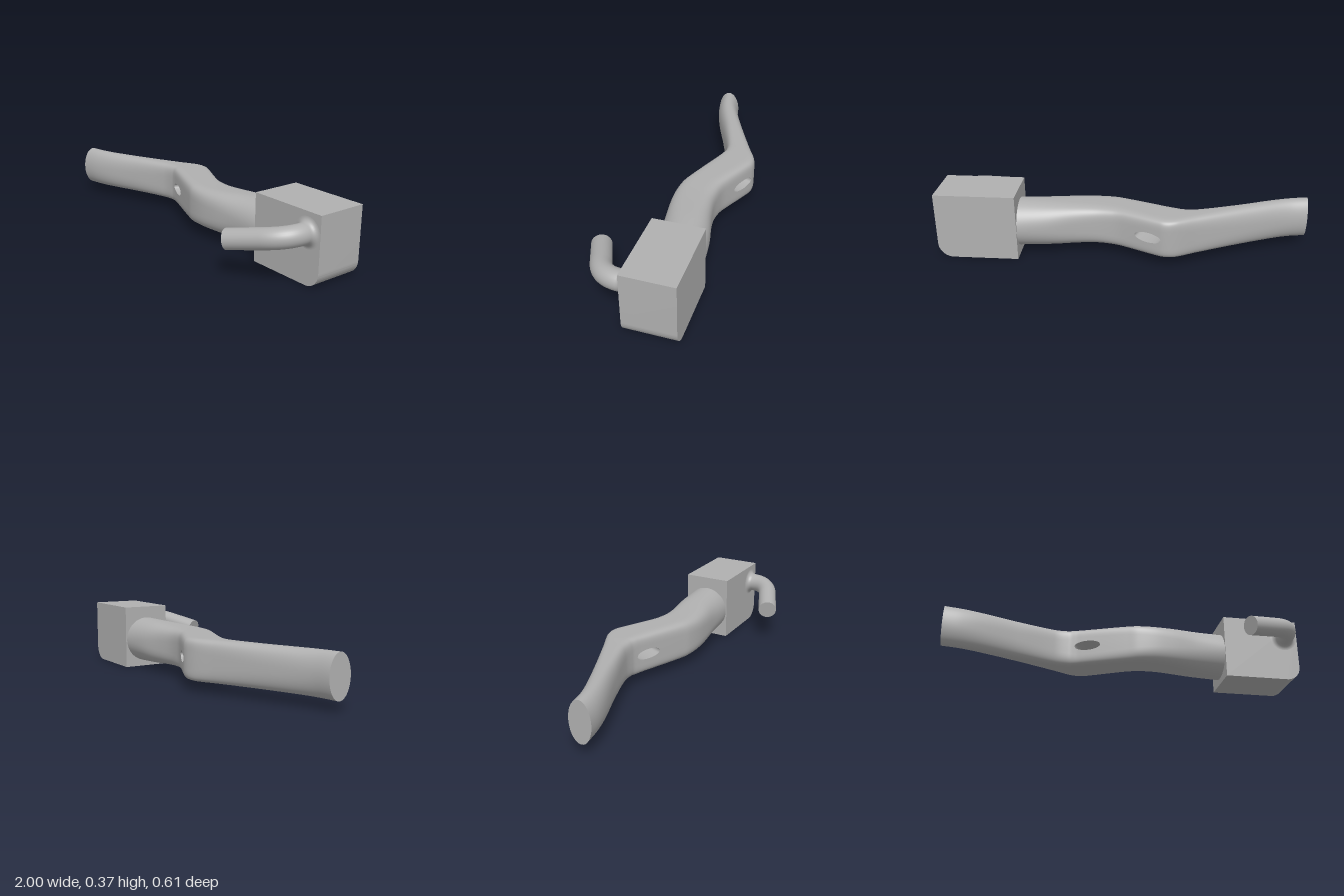
import * as THREE from 'three';
import { mergeVertices, toCreasedNormals } from 'three/addons/utils/BufferGeometryUtils.js';

// Arm stations: x, back z, front z, half height, squareness of the section
const STATIONS = [
  [-1.0, -0.022, 0.105, 0.113, 2],
  [-0.9, -0.043, 0.085, 0.112, 2.1],
  [-0.8, -0.078, 0.052, 0.111, 2.3],
  [-0.6, -0.162, -0.03, 0.11, 2.8],
  [-0.4, -0.25, -0.104, 0.11, 4],
  [-0.32, -0.288, -0.114, 0.111, 5],
  [-0.28, -0.303, -0.105, 0.111, 6],
  [-0.24, -0.31, -0.09, 0.111, 6],
  [-0.2, -0.303, -0.074, 0.111, 6],
  [0.0, -0.213, 0.007, 0.111, 5],
  [0.06, -0.196, 0.028, 0.111, 4.5],
  [0.15, -0.19, 0.039, 0.112, 3.8],
  [0.25, -0.203, 0.035, 0.116, 3.2],
  [0.4, -0.236, 0.018, 0.125, 2.4],
  [0.57, -0.258, 0.005, 0.132, 2],
];
const MID_Y = 0.166;
const STEP = 0.005;
const COUNT = 314;
const SIDES = 32;
const SLOT = { x: -0.215, half: 0.07, height: 0.028, shift: 16 };

// Smooth interpolation of one station column
function sample(x, col) {
  const S = STATIONS, last = S.length - 1;
  let k = 0;
  while (k < last - 1 && x > S[k + 1][0]) k++;
  const slope = (i) => {
    const a = S[Math.max(i - 1, 0)], b = S[Math.min(i + 1, last)];
    return (b[col] - a[col]) / (b[0] - a[0]);
  };
  const w = S[k + 1][0] - S[k][0], t = (x - S[k][0]) / w, t2 = t * t, t3 = t2 * t;
  return (2 * t3 - 3 * t2 + 1) * S[k][col] + (t3 - 2 * t2 + t) * w * slope(k)
    + (3 * t2 - 2 * t3) * S[k + 1][col] + (t3 - t2) * w * slope(k + 1);
}

// Half height of the slot opening at x
function slotHeight(x, centre) {
  const u = (x - centre) / SLOT.half;
  return SLOT.height * Math.sqrt(Math.max(0, 1 - u * u));
}

// Upper (s = 1) or lower (s = -1) half of a section, from front seam to back seam
function halfSection(i, s) {
  const x = -1 + i * STEP;
  const [back, front, H, n] = [1, 2, 3, 4].map((c) => sample(x, c));
  const start = (h) => Math.asin(Math.pow(h / H, n / 2));
  const t0 = start(slotHeight(x, SLOT.x));
  const t1 = Math.PI - start(slotHeight(x, SLOT.x + SLOT.shift * STEP));
  const points = [];
  for (let j = 0; j <= SIDES; j++) {
    const t = t0 + (t1 - t0) * j / SIDES, c = Math.cos(t);
    const z = (front + back) / 2 + (front - back) / 2 * Math.sign(c) * Math.pow(Math.abs(c), 2 / n);
    const y = H * Math.pow(Math.max(0, Math.sin(t)), 2 / n);
    points.push([x, MID_Y + s * y, z]);
  }
  return points;
}

// Skin a list of [rows, flipped] grids into one smooth geometry
function skin(grids) {
  const pos = [];
  for (const [rows, flip] of grids) {
    for (let i = 0; i < rows.length - 1; i++) {
      for (let j = 0; j < rows[i].length - 1; j++) {
        const a = rows[i][j], b = rows[i + 1][j], c = rows[i + 1][j + 1], d = rows[i][j + 1];
        const order = flip ? [a, c, b, a, d, c] : [a, b, c, a, c, d];
        for (const p of order) pos.push(...p);
      }
    }
  }
  let g = new THREE.BufferGeometry();
  g.setAttribute('position', new THREE.Float32BufferAttribute(pos, 3));
  g = mergeVertices(g, 1e-5);
  g.computeVertexNormals();
  return g;
}

export function createModel() {
  const model = new THREE.Group();
  const metal = new THREE.MeshStandardMaterial({ color: 0xb0b0b0 });
  metal.name = 'grey metal';
  const add = (name, geometry, parent = model) => {
    const mesh = new THREE.Mesh(geometry, metal);
    mesh.name = name;
    parent.add(mesh);
    return mesh;
  };

  // Curved arm: skin, flat end and the walls of the slot through it
  const arm = new THREE.Group();
  arm.name = 'arm';
  model.add(arm);
  const body = [], end = [], walls = [];
  const first = Math.round((SLOT.x - SLOT.half + 1) / STEP);
  const length = Math.round(2 * SLOT.half / STEP);
  for (const s of [1, -1]) {
    const rows = Array.from({ length: COUNT + 1 }, (_, i) => halfSection(i, s));
    body.push([rows, s < 0]);
    const centre = [-1, MID_Y, 0.0415];
    end.push([[rows[0].map(() => centre), rows[0]], s < 0]);
    const wall = [];
    for (let i = first; i <= first + length; i++) {
      wall.push([rows[i][0], rows[i + SLOT.shift][SIDES]]);
    }
    walls.push([wall, s > 0]);
  }
  add('armSkin', skin(body), arm);
  add('armEnd', skin(end), arm);
  add('slotWalls', skin(walls), arm);

  // Block with one rounded lower corner
  const x0 = 0.565, x1 = 1, top = 0.365, r = 0.08;
  const outline = new THREE.Shape();
  outline.moveTo(x0, 0);
  outline.lineTo(x1 - r, 0);
  outline.absarc(x1 - r, r, r, -Math.PI / 2, 0, false);
  outline.lineTo(x1, top);
  outline.lineTo(x0, top);
  outline.closePath();
  const block = new THREE.ExtrudeGeometry(outline, { depth: 0.274, bevelEnabled: false, curveSegments: 16 });
  block.translate(0, 0, -0.264);
  add('block', toCreasedNormals(block, 0.5));

  // Bent lever: straight, bend, straight
  const lever = new THREE.Group();
  lever.name = 'lever';
  model.add(lever);
  const base = new THREE.Vector3(0.918, 0.261, 0.0);
  const corner = new THREE.Vector3(0.918, 0.261, 0.132);
  const tip = new THREE.Vector3(0.636, 0.199, 0.253);
  const bendIn = corner.clone().lerp(base, 0.75);
  const bendOut = corner.clone().lerp(tip, 0.38);
  const path = new THREE.CurvePath();
  path.add(new THREE.LineCurve3(base, bendIn));
  path.add(new THREE.QuadraticBezierCurve3(bendIn, corner, bendOut));
  path.add(new THREE.LineCurve3(bendOut, tip));
  const radius = 0.053;
  add('leverRod', new THREE.TubeGeometry(path, 60, radius, 32), lever);
  const cap = add('leverEnd', new THREE.CircleGeometry(radius, 32), lever);
  cap.position.copy(tip);
  cap.quaternion.setFromUnitVectors(new THREE.Vector3(0, 0, 1), tip.clone().sub(corner).normalize());

  // Fillet where the lever meets the block
  const f = 0.027, profile = [];
  for (let i = 0; i <= 8; i++) {
    const a = i / 8 * Math.PI / 2;
    profile.push(new THREE.Vector2(radius + f - f * Math.sin(a), f - f * Math.cos(a)));
  }
  const fillet = add('leverFillet', new THREE.LatheGeometry(profile, 32), lever);
  fillet.rotation.x = Math.PI / 2;
  fillet.position.set(base.x, base.y, 0.01);

  return model;
}
